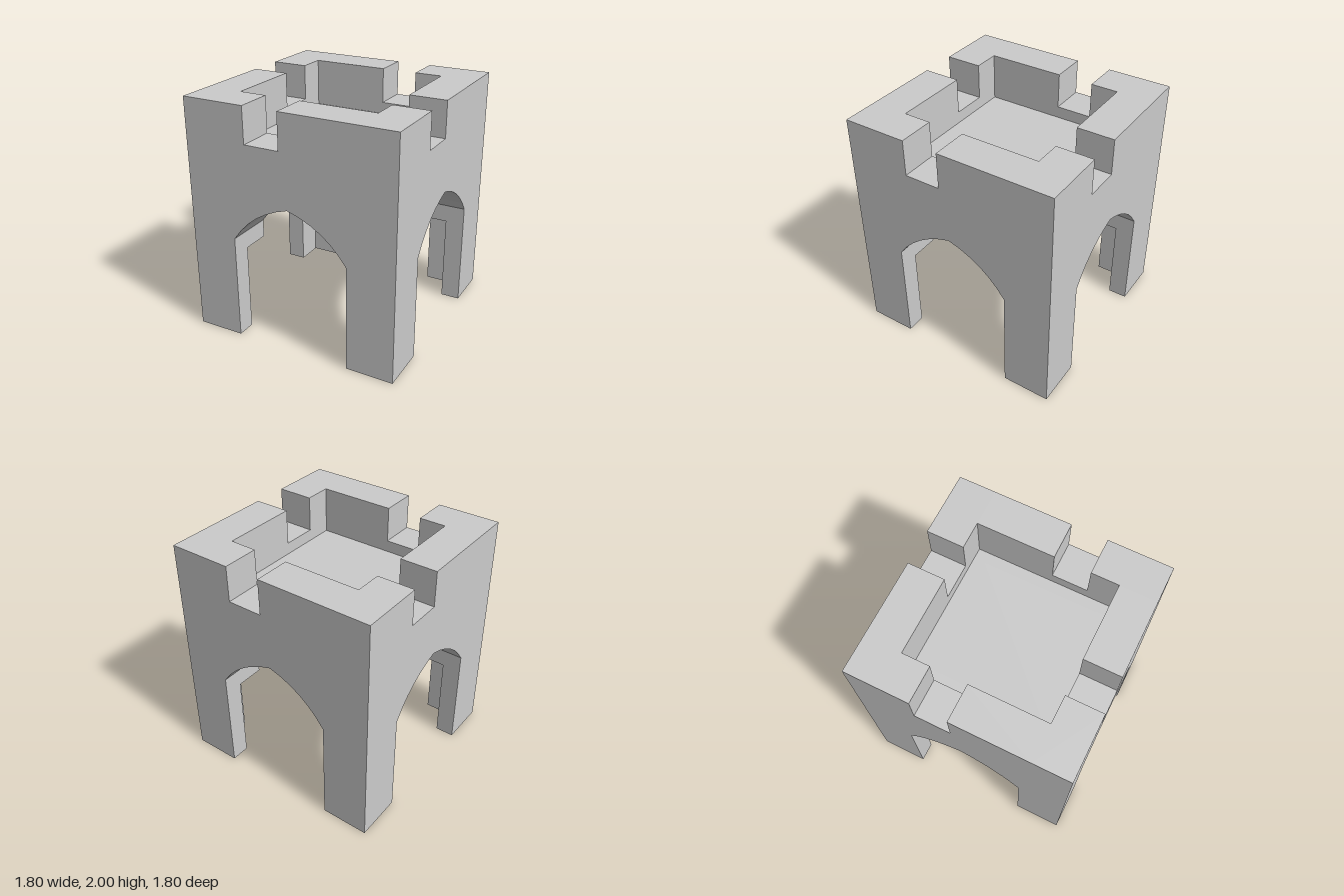
import * as THREE from 'three';

const OUT = 0.9;      // outer half width
const IN = 0.5;       // half width of the archways and the hall
const SHELL = 0.16;   // thickness of the hollow legs
const LEG = 0.74;     // height of the hollow legs
const SPRING = 0.89;  // height where the arches start
const APEX = 1.24;
const FLOOR = 1.6;    // roof deck
const TOP = 2;
const RIM = 0.59;     // inner half width of the parapet

const material = new THREE.MeshStandardMaterial({ color: 0xcccccc });

function polygon(points) {
  return new THREE.Shape(points.map(([x, y]) => new THREE.Vector2(x, y)));
}

function extrude(shape, depth) {
  return new THREE.ExtrudeGeometry(shape, { depth, bevelEnabled: false, curveSegments: 6 });
}

function part(name, geometry) {
  const mesh = new THREE.Mesh(geometry, material);
  mesh.name = name;
  return mesh;
}

// Wall with a pointed arch; each wall also fills one corner
function archWall() {
  const s = new THREE.Shape();
  s.moveTo(-OUT, LEG);
  s.lineTo(-IN, LEG);
  s.lineTo(-IN, SPRING);
  s.quadraticCurveTo(-0.315, 1.16, 0, APEX);
  s.quadraticCurveTo(0.315, 1.16, IN, SPRING);
  s.lineTo(IN, FLOOR);
  s.lineTo(-OUT, FLOOR);
  s.closePath();
  return extrude(s, OUT - IN).translate(0, 0, IN);
}

// L-shaped leg, open towards the middle
function leg() {
  const t = OUT - SHELL;
  const s = polygon([[-OUT, -OUT], [-IN, -OUT], [-IN, -t], [-t, -t], [-t, -IN], [-OUT, -IN]]);
  return extrude(s, LEG).rotateX(-Math.PI / 2);
}

// Parapet with one notch
function parapet() {
  const s = polygon([
    [-OUT, FLOOR], [RIM, FLOOR], [RIM, TOP], [-0.06, TOP],
    [-0.06, 1.7], [-0.36, 1.7], [-0.36, TOP], [-OUT, TOP],
  ]);
  return extrude(s, OUT - RIM).translate(0, 0, RIM);
}

export function createModel() {
  const tower = new THREE.Group();
  tower.name = 'tower';

  // Four equal sides, turned about the centre
  const pieces = { archWall: archWall(), leg: leg(), parapet: parapet() };
  for (let i = 0; i < 4; i++) {
    const side = new THREE.Group();
    side.name = 'side';
    for (const [name, geometry] of Object.entries(pieces)) side.add(part(name, geometry));
    side.rotation.y = i * Math.PI / 2;
    tower.add(side);
  }

  // Roof deck over the hall
  const deck = part('roofDeck', new THREE.BoxGeometry(2 * IN, SHELL, 2 * IN));
  deck.position.y = FLOOR - SHELL / 2;
  tower.add(deck);

  return tower;
}
